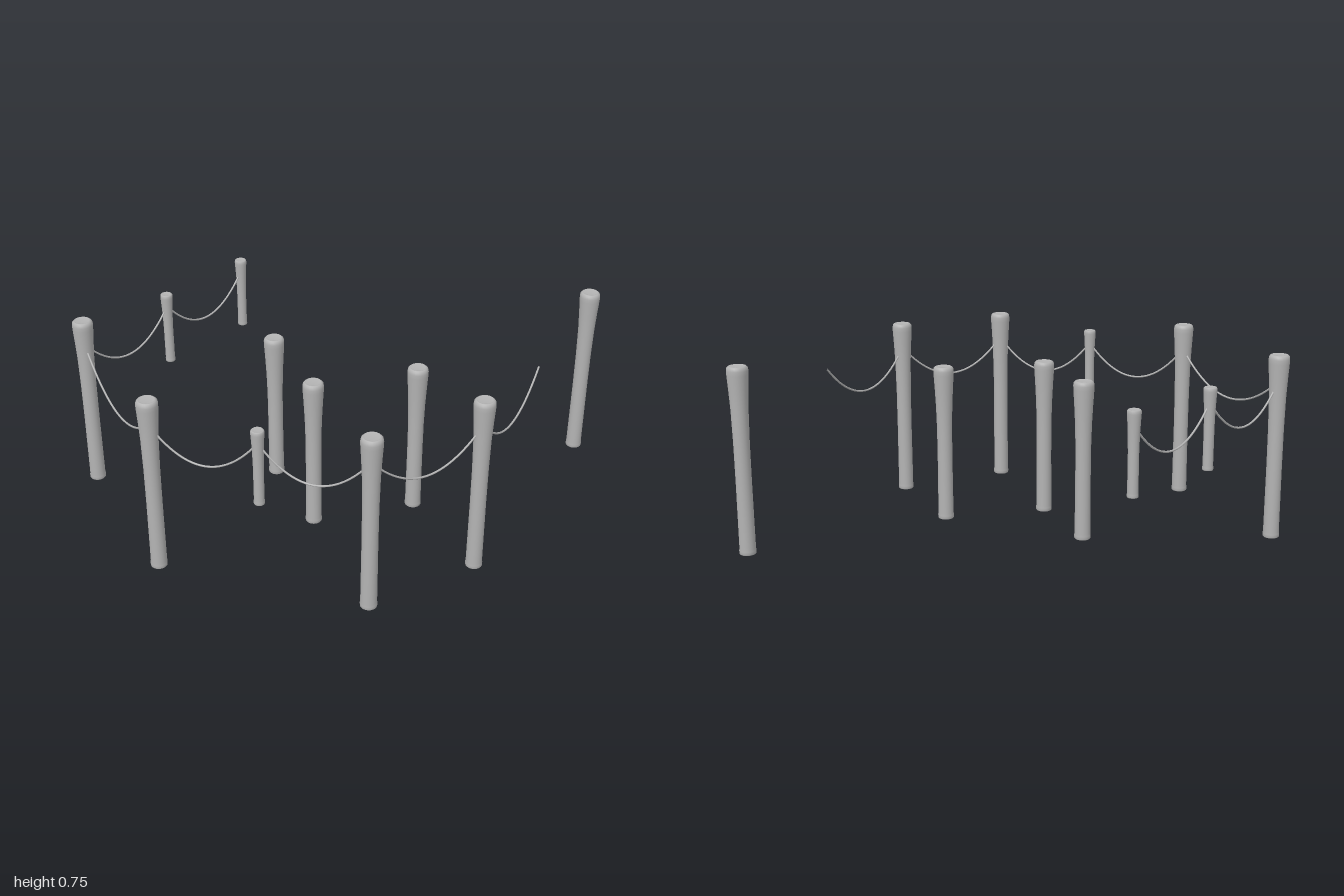
import * as THREE from 'three';

const SAG_Y = 0.505, TIE_Y = 0.645;

// Turned post: [radius, height] profile with a flared, rounded head
function makePost(name, profile, x, y, z, material) {
  const points = profile.map(([r, h]) => new THREE.Vector2(r, h));
  const post = new THREE.Mesh(new THREE.LatheGeometry(points, 24), material);
  post.name = name;
  post.position.set(x, y, z);
  return post;
}

// Full-length post; the head keeps its shape whatever the height
function tallProfile(h) {
  return [
    [0, 0], [0.03, 0], [0.033, 0.003], [0.0335, 0.016], [0.032, 0.024],
    [0.031, h * 0.4], [0.0315, h * 0.6], [0.034, h - 0.17], [0.038, h - 0.09],
    [0.0415, h - 0.035], [0.042, h - 0.018], [0.04, h - 0.007], [0.034, h - 0.001],
    [0.029, h], [0.028, h - 0.003], [0, h - 0.003],
  ];
}

// Short hanging post
const shortProfile = [
  [0, 0], [0.02, 0], [0.021, 0.003], [0.021, 0.012], [0.02, 0.018],
  [0.02, 0.16], [0.0215, 0.23], [0.025, 0.295], [0.026, 0.306],
  [0.0255, 0.316], [0.022, 0.32], [0.017, 0.32], [0.016, 0.318], [0, 0.318],
];

// Rope hanging in a parabola between two tie points
function makeRope([x0, z0], [x1, z1], material) {
  const points = [];
  for (let i = 0; i <= 16; i++) {
    const t = i / 16, u = 2 * t - 1;
    points.push(new THREE.Vector3(
      x0 + (x1 - x0) * t, SAG_Y + (TIE_Y - SAG_Y) * u * u, z0 + (z1 - z0) * t));
  }
  const curve = new THREE.CatmullRomCurve3(points);
  const rope = new THREE.Mesh(new THREE.TubeGeometry(curve, 32, 0.004, 8), material);
  rope.name = 'rope';
  return rope;
}

export function createModel() {
  const model = new THREE.Group();
  model.name = 'ropeFence';
  const grey = new THREE.MeshStandardMaterial({ color: 0xb3b3b3 });
  grey.name = 'plain grey';

  // Tall fence posts
  const tall = [[-0.96, 0.18], [-0.47, 0.67], [0.38, 0.67], [0.707, 0.31], [0.955, -0.67]];
  for (const [x, z] of tall) model.add(makePost('tallPost', tallProfile(0.755), x, 0, z, grey));

  // Middle posts standing inside the fence
  const middle = [[-0.24, -0.085], [0.02, 0.21], [0.38, -0.02]];
  for (const [x, z] of middle) model.add(makePost('middlePost', tallProfile(0.655), x, 0, z, grey));

  // Short posts held above the ground
  const short = [[-0.585, -0.64], [-0.77, -0.23], [-0.045, 0.67]];
  for (const [x, z] of short) model.add(makePost('shortPost', shortProfile, x, 0.383, z, grey));

  // Ropes run from post to post and finish in a loose end
  const path = [short[0], short[1], tall[0], tall[1], short[2], tall[2], tall[3], [0.83, -0.18]];
  for (let i = 0; i < path.length - 1; i++) model.add(makeRope(path[i], path[i + 1], grey));

  return model;
}
